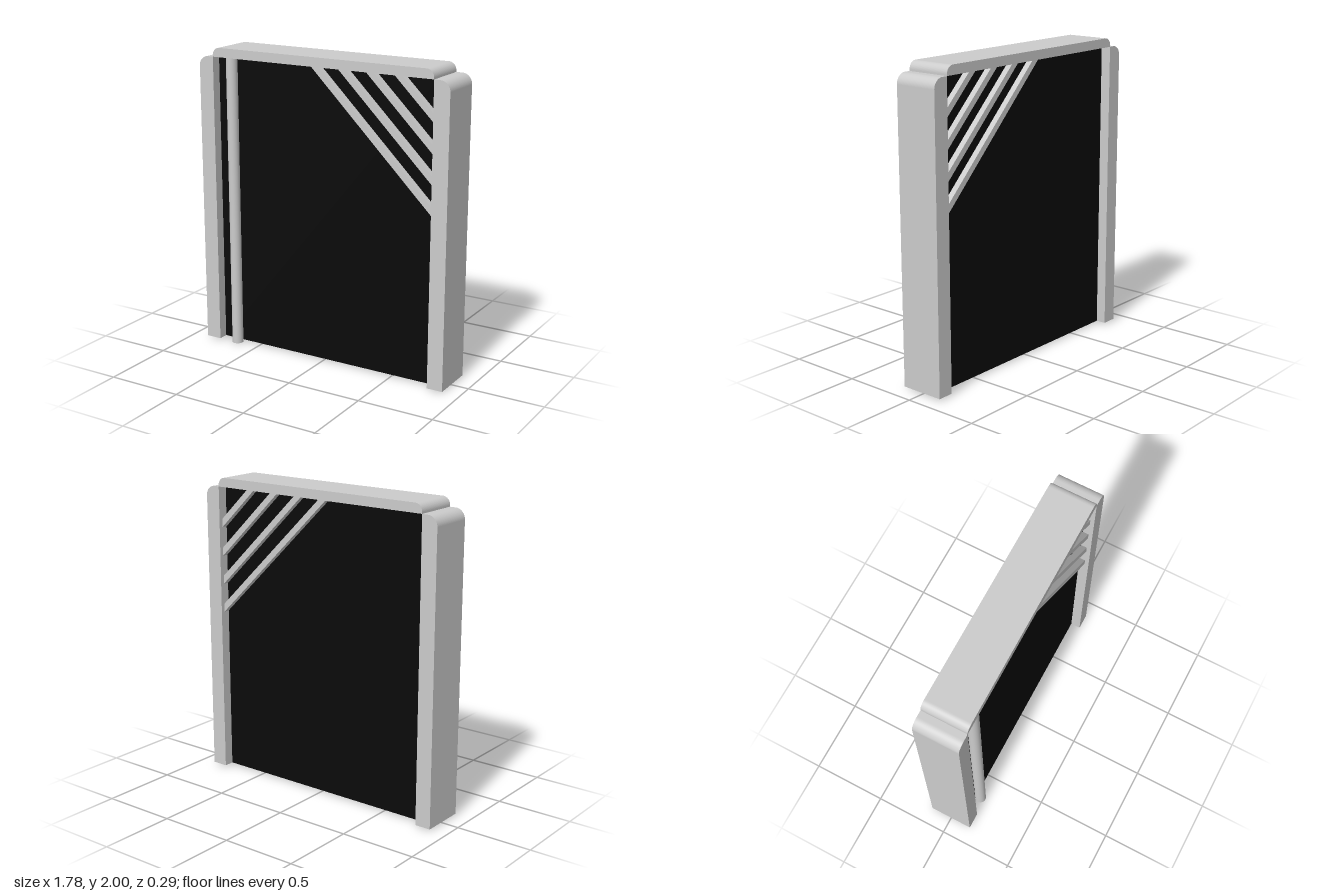
import * as THREE from 'three';

const DEPTH = 0.294, BASE = 0.01, INNER = 0.785, OUTER = 0.89, LINTEL = 1.94;

export function createModel() {
  const group = new THREE.Group();
  const grey = new THREE.MeshStandardMaterial({ color: 0xcccccc });
  const black = new THREE.MeshStandardMaterial({ color: 0x0a0a0a });

  const add = (name, geometry, material = grey) => {
    const mesh = new THREE.Mesh(geometry, material);
    mesh.name = name;
    group.add(mesh);
    return mesh;
  };
  // Extrude a front outline, centred on z = 0
  const slab = (shape, depth) =>
    new THREE.ExtrudeGeometry(shape, { depth, bevelEnabled: false, curveSegments: 10 })
      .translate(0, 0, -depth / 2);
  // Rectangle with separately rounded top corners
  const outline = (x0, x1, y0, y1, rLeft, rRight) => {
    const s = new THREE.Shape();
    s.moveTo(x0, y0);
    s.lineTo(x1, y0);
    s.lineTo(x1, y1 - rRight);
    if (rRight) s.absarc(x1 - rRight, y1 - rRight, rRight, 0, Math.PI / 2);
    s.lineTo(x0 + rLeft, y1);
    if (rLeft) s.absarc(x0 + rLeft, y1 - rLeft, rLeft, Math.PI / 2, Math.PI);
    s.closePath();
    return s;
  };

  // Frame: two posts rounded on the outside and a lintel across the top
  add('leftPost', slab(outline(INNER, OUTER, BASE, LINTEL, 0, 0.065), DEPTH));
  add('rightPost', slab(outline(-OUTER, -INNER, BASE, LINTEL, 0.065, 0), DEPTH));
  add('lintel', slab(outline(-INNER, INNER, LINTEL, 2, 0.05, 0.05), DEPTH));

  // Dark door panel, recessed on both sides
  const panel = add('doorPanel',
    new THREE.BoxGeometry(INNER * 2, LINTEL - BASE, 0.16), black);
  panel.position.y = (LINTEL + BASE) / 2;

  // Full-height round handle on the front
  const handle = add('handleBar', new THREE.CylinderGeometry(0.037, 0.037, LINTEL, 32));
  handle.position.set(-0.665, LINTEL / 2, 0.11);

  // Diagonal strips across the corner, standing proud of both faces
  for (let i = 0; i < 4; i++) {
    const x = -0.07 + i * 0.193, y = 1.1 + i * 0.19, w = 0.055;
    const strip = new THREE.Shape([
      new THREE.Vector2(x, LINTEL),
      new THREE.Vector2(INNER, y),
      new THREE.Vector2(INNER, y + w),
      new THREE.Vector2(x + w, LINTEL),
    ]);
    add('diagonalStrip' + (i + 1), slab(strip, 0.24));
  }
  return group;
}
